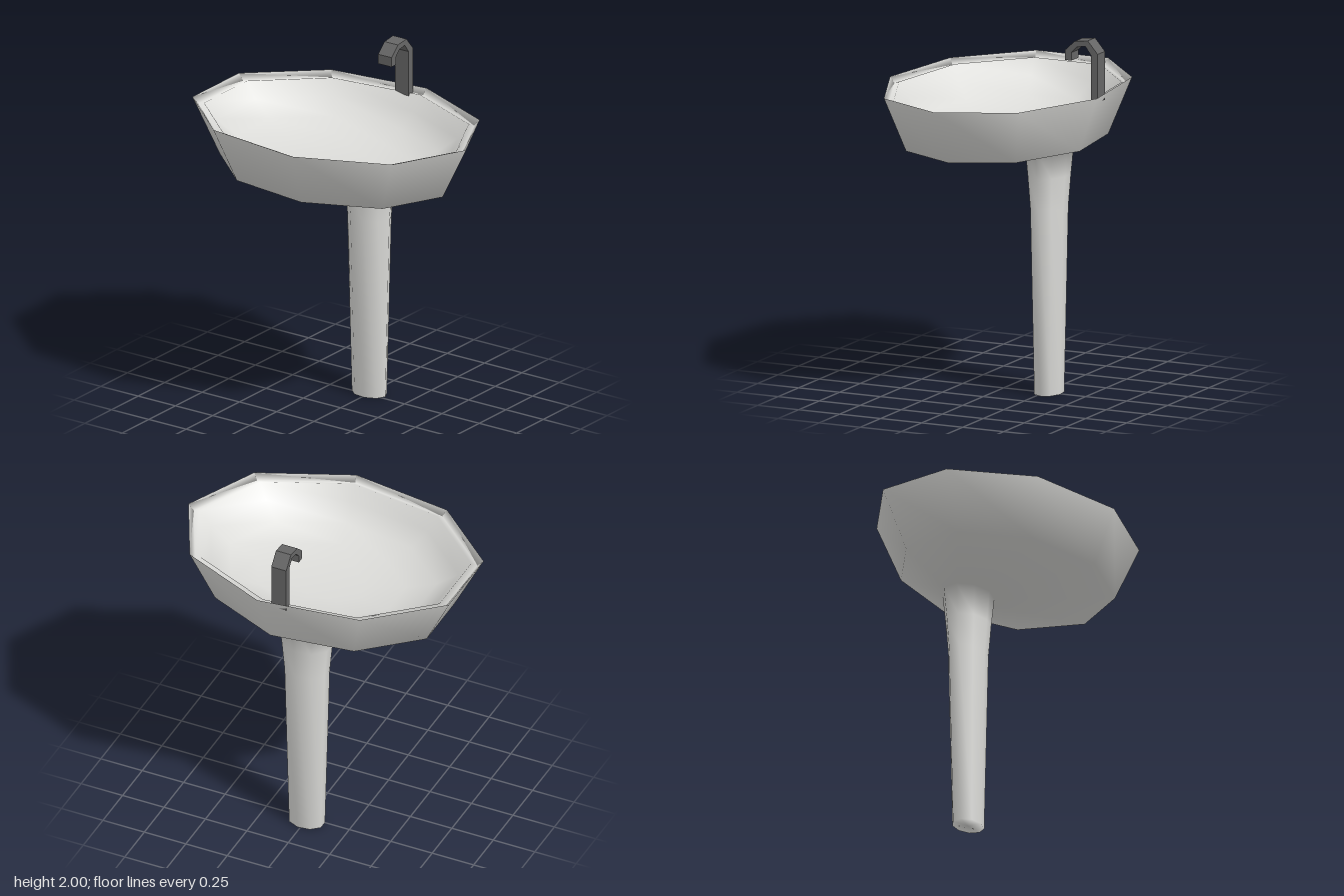
import * as THREE from 'three';

const SIDES = 9;

// Smooth closed surface through nine-sided elliptical rings [y, radiusX, radiusZ, centreX, centreZ]
function loft(rings) {
  const pos = [], index = [];
  for (const [y, rx, rz, cx, cz] of rings) {
    for (let i = 0; i < SIDES; i++) {
      const t = (i / SIDES) * Math.PI * 2;
      pos.push(cx + rx * Math.cos(t), y, cz + rz * Math.sin(t));
    }
  }
  for (let r = 0; r < rings.length - 1; r++) {
    for (let i = 0; i < SIDES; i++) {
      const j = (i + 1) % SIDES;
      const a = r * SIDES + i, c = r * SIDES + j;
      const b = a + SIDES, d = c + SIDES;
      index.push(a, c, b, c, d, b);
    }
  }
  // centre points close the first and last ring
  const caps = [rings[0], rings[rings.length - 1]];
  caps.forEach(([y, , , cx, cz], k) => {
    const centre = pos.length / 3;
    pos.push(cx, y, cz);
    const base = k ? (rings.length - 1) * SIDES : 0;
    for (let i = 0; i < SIDES; i++) {
      const a = base + i, b = base + (i + 1) % SIDES;
      if (k) index.push(centre, a, b);
      else index.push(centre, b, a);
    }
  });
  const geo = new THREE.BufferGeometry();
  geo.setAttribute('position', new THREE.Float32BufferAttribute(pos, 3));
  geo.setIndex(index);
  geo.computeVertexNormals();
  return geo;
}

export function createModel() {
  const group = new THREE.Group();
  const ceramic = new THREE.MeshStandardMaterial({ color: 0xdcdcd9 });
  ceramic.name = 'white ceramic';
  const metal = new THREE.MeshStandardMaterial({ color: 0x666666 });
  metal.name = 'dark metal';

  // Bowl interior, raised lip, outer wall, underside and pedestal in one skin
  const bowl = (s, y) => [y, 0.865 * s, 0.64 * s, -0.025 * s, 0];
  const stem = (y, rx, rz) => [y, rx, rz, -0.003, -0.275];
  const basin = new THREE.Mesh(loft([
    bowl(0.25, 1.44),
    bowl(0.5, 1.46),
    bowl(0.7, 1.51),
    bowl(0.84, 1.59),
    bowl(0.92, 1.675),
    bowl(0.96, 1.665),
    bowl(1, 1.7),
    bowl(0.815, 1.39),
    stem(1.39, 0.17, 0.127),
    stem(1.22, 0.149, 0.112),
    stem(1.04, 0.133, 0.098),
    stem(0, 0.106, 0.077),
  ]), ceramic);
  basin.name = 'basinAndPedestal';
  group.add(basin);

  // Hooked tap: side outline as (forward z, height y), extruded across the width
  const outline = [
    [-0.6, 1.66], [-0.6, 1.93], [-0.54, 2], [-0.46, 1.99], [-0.4, 1.935], [-0.4, 1.88],
    [-0.44, 1.88], [-0.44, 1.925], [-0.475, 1.96], [-0.525, 1.968], [-0.56, 1.92], [-0.56, 1.66],
  ];
  const shape = new THREE.Shape(outline.map(([z, y]) => new THREE.Vector2(-z, y)));
  const tapGeo = new THREE.ExtrudeGeometry(shape, { depth: 0.09, bevelEnabled: false });
  tapGeo.rotateY(Math.PI / 2);
  tapGeo.translate(-0.035, 0, 0);
  const tap = new THREE.Mesh(tapGeo, metal);
  tap.name = 'tap';
  group.add(tap);

  return group;
}
